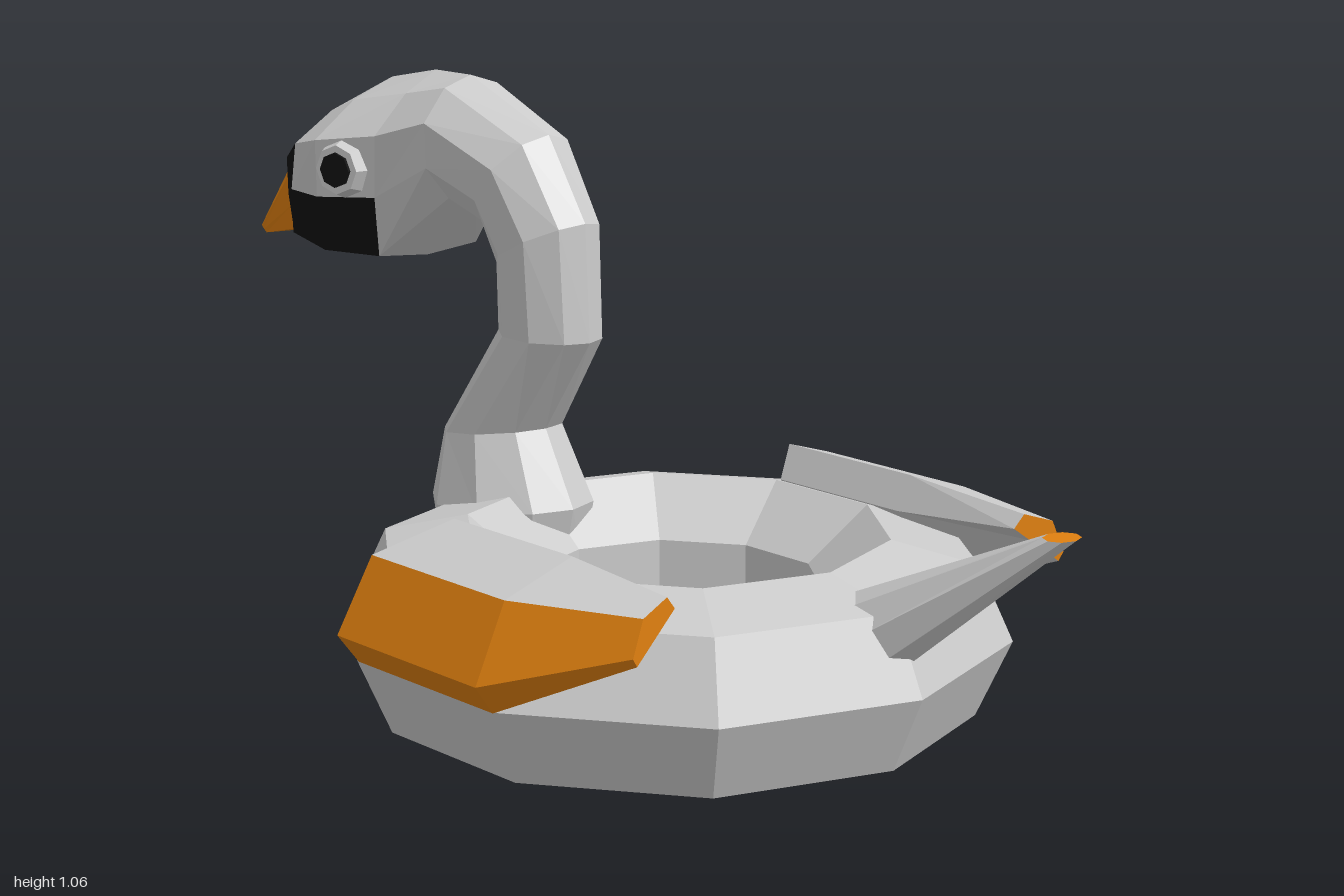
import * as THREE from 'three';

const mat = (color) => new THREE.MeshStandardMaterial({ color, flatShading: true });
const GREY = mat(0xcccccc), ORANGE = mat(0xe08010), BLACK = mat(0x111111);

const V = (x, y, z) => new THREE.Vector3(x, y, z);

// Capped skin over cross-section loops. pick(i, j) names the material of each
// panel (i: section, j: side; i = -1 and i = 'end' are the caps).
function loft(name, rings, pick) {
  const tris = [];
  const n = rings[0].length;
  for (let i = 0; i < rings.length - 1; i++) {
    for (let j = 0; j < n; j++) {
      const k = (j + 1) % n, m = pick(i, j);
      const a = rings[i][j], b = rings[i][k], c = rings[i + 1][k], d = rings[i + 1][j];
      tris.push([m, a, b, c], [m, a, c, d]);
    }
  }
  const first = rings[0], last = rings[rings.length - 1];
  for (let j = 1; j < n - 1; j++) {
    tris.push([pick(-1, j), first[0], first[j + 1], first[j]]);
    tris.push([pick('end', j), last[0], last[j], last[j + 1]]);
  }
  // turn the skin outwards if the loops run the other way round
  const volume = tris.reduce((s, [, a, b, c]) => s + a.dot(b.clone().cross(c)), 0);
  const group = new THREE.Group();
  group.name = name;
  for (const m of new Set(tris.map((t) => t[0]))) {
    const pos = [];
    for (const [tm, a, b, c] of tris) {
      if (tm !== m) continue;
      for (const p of volume > 0 ? [a, b, c] : [a, c, b]) pos.push(p.x, p.y, p.z);
    }
    const g = new THREE.BufferGeometry();
    g.setAttribute('position', new THREE.Float32BufferAttribute(pos, 3));
    g.computeVertexNormals();
    const mesh = new THREE.Mesh(g, m);
    mesh.name = name + (m === GREY ? 'Body' : m === ORANGE ? 'OrangePanels' : 'BlackPanels');
    group.add(mesh);
  }
  return group;
}

// Symmetric ten-sided section between a top point and a bottom point
const NECK = [[0, 0], [0.08, 0.55], [0.33, 1], [0.67, 1], [0.92, 0.55], [1, 0]];
const HEAD = [[0, 0], [0.11, 0.5], [0.32, 1], [0.65, 0.96], [0.97, 0.84], [1, 0]];
function section(shape, tx, ty, bx, by, w) {
  const at = ([t, f], s) => V(tx + (bx - tx) * t, ty + (by - ty) * t, s * f * w);
  return [...shape.map((p) => at(p, 1)), ...shape.slice(1, -1).reverse().map((p) => at(p, -1))];
}

// Inflated ten-sided ring
function makeRing() {
  const profile = [[0.37, 0], [0.52, 0.035], [0.58, 0.17], [0.52, 0.3], [0.37, 0.335],
    [0.255, 0.24], [0.255, 0.09], [0.37, 0]].map(([r, y]) => new THREE.Vector2(r, y));
  const ring = new THREE.Mesh(new THREE.LatheGeometry(profile, 10, Math.PI / 2), GREY);
  ring.position.x = 0.2;
  ring.name = 'floatRing';
  return ring;
}

// Curved neck running into head, face mask and bill
function makeNeckAndHead() {
  const rings = [
    section(NECK, -0.1, 0.18, -0.38, 0.17, 0.12),
    section(NECK, -0.07, 0.31, -0.41, 0.29, 0.13),
    section(NECK, -0.145, 0.445, -0.385, 0.415, 0.1),
    section(NECK, -0.025, 0.62, -0.24, 0.62, 0.08),
    section(NECK, -0.037, 0.83, -0.24, 0.735, 0.085),
    section(NECK, -0.134, 0.975, -0.27, 0.8, 0.095),
    section(NECK, -0.35, 1.06, -0.34, 0.825, 0.11),
    section(HEAD, -0.45, 1.06, -0.48, 0.715, 0.135),
    section(HEAD, -0.58, 1.035, -0.6, 0.715, 0.175),
    section(HEAD, -0.66, 1.0, -0.73, 0.73, 0.15),
    section(HEAD, -0.77, 0.94, -0.78, 0.73, 0.105),
    section(HEAD, -0.87, 0.87, -0.82, 0.72, 0.045),
    section(HEAD, -1.0, 0.71, -0.98, 0.69, 0.012),
  ];
  return loft('neckAndHead', rings, (i, j) => {
    if (i === 'end' || i >= 11) return ORANGE;
    if (i >= 9) return BLACK;
    return i >= 7 && j >= 3 && j <= 6 ? BLACK : GREY; // cheeks and jaw
  });
}

// Eye: grey raised rim with a black pupil
function makeEye(side) {
  const eye = new THREE.Group();
  eye.name = side > 0 ? 'leftEye' : 'rightEye';
  const disc = (name, r1, r2, h, z, m) => {
    const g = new THREE.CylinderGeometry(r1, r2, h, 8);
    g.rotateX(Math.PI / 2);
    const mesh = new THREE.Mesh(g, m);
    mesh.position.z = z;
    mesh.name = name;
    eye.add(mesh);
  };
  disc('eyeRim', 0.045, 0.06, 0.04, 0, GREY);
  disc('pupil', 0.032, 0.032, 0.01, 0.021, BLACK);
  eye.position.set(-0.53, 0.885, side * 0.155);
  eye.rotation.y = side > 0 ? 0.3 : Math.PI - 0.3;
  return eye;
}

// Wing resting on the ring, tapering to a thin tip at the rear
function makeWing(side, stretch) {
  const body = [[0.555, 0.17], [0.59, 0.22], [0.53, 0.35], [0.39, 0.395], [0.36, 0.335], [0.46, 0.2]];
  const tip = [[0.465, 0.285], [0.475, 0.3], [0.45, 0.358], [0.39, 0.378], [0.37, 0.355], [0.42, 0.325]];
  const front = body.map(([z, y]) => V(0.02 + (0.59 - z) * 0.3, y, side * z));
  const middle = body.map(([z, y]) => V(0.38, y, side * z));
  const rear = tip.map(([z, y]) => V(0.62 + stretch - (0.475 - z) * 0.2, y, side * z));
  return loft(side > 0 ? 'leftWing' : 'rightWing', [front, middle, rear],
    (i, j) => (i === 'end' || (i >= 0 && j < 2) ? ORANGE : GREY));
}

// Slanted tail spike, level orange end
function makeTail() {
  const ring = (c, u, v) => Array.from({ length: 8 }, (_, k) => {
    const a = (k / 8) * Math.PI * 2;
    return c.clone().addScaledVector(u, Math.cos(a)).addScaledVector(v, Math.sin(a));
  });
  const base = ring(V(0.68, 0.265, 0.005), V(0.065, -0.045, -0.01), V(0.01, 0, 0.055));
  const end = ring(V(0.97, 0.46, -0.1), V(0.028, 0, 0), V(0, 0, 0.034));
  return loft('tail', [base, end], (i) => (i === 'end' ? ORANGE : GREY));
}

export function createModel() {
  const model = new THREE.Group();
  model.name = 'swanSwimRing';
  model.add(makeRing(), makeNeckAndHead(), makeEye(1), makeEye(-1),
    makeWing(1, 0), makeWing(-1, 0.04), makeTail());
  return model;
}
